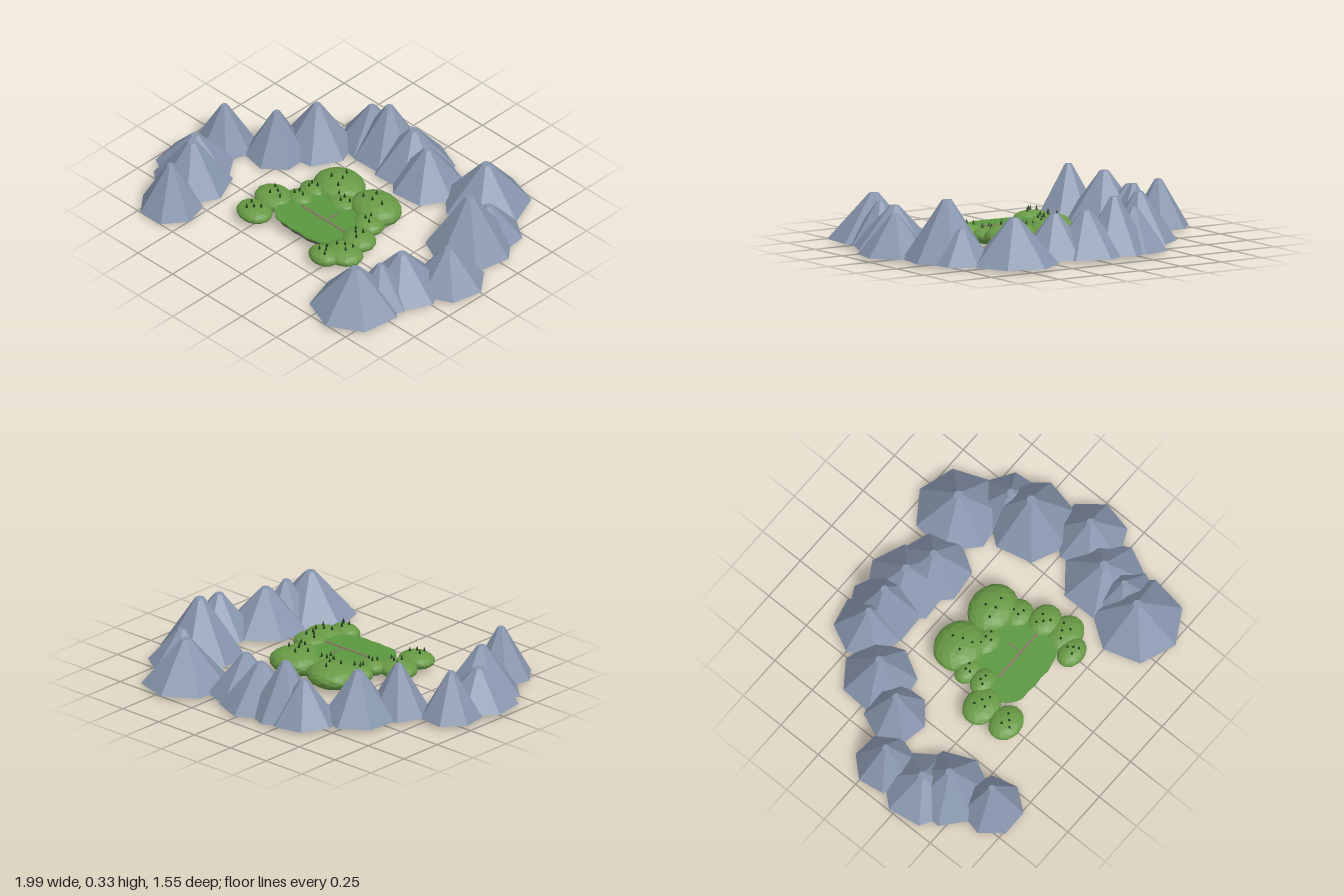
import * as THREE from 'three';

const mat = (color) => new THREE.MeshStandardMaterial({ color, flatShading: true });

// Flat slab: squarish outline with a wavy rim, tapering towards its underside
function slab(rx, rz, bottom, top, taper) {
  const pts = [];
  const n = 56;
  for (let i = 0; i < n; i++) {
    const a = (i / n) * Math.PI * 2;
    const c = Math.cos(a), s = Math.sin(a);
    const r = Math.pow(c ** 4 + s ** 4, -0.25) * (1 + 0.014 * Math.sin(a * 14));
    pts.push(new THREE.Vector2(c * r * rx, s * r * rz));
  }
  const geo = new THREE.ExtrudeGeometry(new THREE.Shape(pts), { depth: top - bottom, bevelEnabled: false });
  geo.rotateX(-Math.PI / 2).translate(0, bottom, 0);
  const p = geo.attributes.position;
  for (let i = 0; i < p.count; i++) {
    if (p.getY(i) < (top + bottom) / 2) p.setXYZ(i, p.getX(i) * taper, p.getY(i), p.getZ(i) * taper);
  }
  geo.computeVertexNormals();
  return geo;
}

export function createModel() {
  const model = new THREE.Group();
  const add = (parent, name, geo, material, x, y, z) => {
    const mesh = new THREE.Mesh(geo, material);
    mesh.name = name;
    mesh.position.set(x, y, z);
    parent.add(mesh);
    return mesh;
  };
  const group = (name) => {
    const g = new THREE.Group();
    g.name = name;
    model.add(g);
    return g;
  };
  const stone = mat(0x8795ad), leaf = mat(0x689a45), grass = mat(0x5a983f);
  const rock = mat(0x6e6660), pathMat = mat(0x8a7468), pine = mat(0x1f3a1a);

  // Ring of seven-sided peaks: x, z, base radius, top height, angle of one corner in degrees
  const base = 0.02;
  const mountains = group('mountainRing');
  [
    [-0.30, -0.50, 0.18, 0.24, 180],
    [-0.175, -0.50, 0.195, 0.305, -92],
    [0, -0.50, 0.215, 0.25, -94],
    [0.155, -0.445, 0.197, 0.24, 6],
    [0.475, -0.55, 0.232, 0.26, -99],
    [0.675, -0.37, 0.175, 0.2, -83],
    [0.675, -0.23, 0.23, 0.33, -14],
    [0.805, 0.055, 0.193, 0.228, -13],
    [0.67, 0.26, 0.222, 0.235, -103],
    [0.66, 0.405, 0.17, 0.235, 0],
    [0.61, 0.535, 0.238, 0.257, 34],
    [-0.82, 0.05, 0.162, 0.265, 197],
    [-0.80, 0.28, 0.207, 0.21, 196],
    [-0.715, 0.39, 0.21, 0.273, 2],
    [-0.645, 0.615, 0.166, 0.285, 12],
    [-0.577, -0.085, 0.165, 0.28, 75],
    [-0.478, -0.28, 0.197, 0.275, -100],
  ].forEach(([x, z, r, top, deg]) => {
    const h = top - base;
    const m = add(mountains, 'mountain', new THREE.CylinderGeometry(0.11 * r, r, h, 7), stone, x, base + h / 2, z);
    m.rotation.y = Math.PI / 2 - THREE.MathUtils.degToRad(deg);
  });

  // Meadow on a rocky plate
  const island = group('meadowIsland');
  add(island, 'rockPlate', slab(0.21, 0.19, 0.042, 0.08, 0.9), rock, 0.01, 0, 0.18);
  add(island, 'grassTop', slab(0.214, 0.194, 0.078, 0.086, 1), grass, 0.01, 0, 0.18);

  // Narrow paths
  add(island, 'crossPath', new THREE.BoxGeometry(0.32, 0.006, 0.01), pathMat, 0.05, 0.087, 0.205);
  add(island, 'sidePath', new THREE.BoxGeometry(0.006, 0.006, 0.09), pathMat, 0.07, 0.087, 0.16);

  // Wooded mounds: x, y, z, radii, number of tiny trees
  const woods = group('woodedMounds');
  const moundGeo = new THREE.IcosahedronGeometry(1, 2);
  const treeGeo = new THREE.ConeGeometry(0.009, 0.034, 6);
  [
    [-0.10, 0.072, -0.06, 0.145, 0.066, 0.13, 4],
    [0.165, 0.073, -0.06, 0.145, 0.069, 0.122, 4],
    [-0.17, 0.065, 0.055, 0.083, 0.045, 0.062, 3],
    [0.01, 0.06, 0.03, 0.1, 0.05, 0.075, 4],
    [0.1, 0.045, 0.02, 0.1, 0.043, 0.07, 0],
    [0.225, 0.065, 0.055, 0.088, 0.045, 0.078, 3],
    [-0.17, 0.07, 0.155, 0.078, 0.042, 0.062, 3],
    [-0.275, 0.065, 0.235, 0.112, 0.046, 0.092, 4],
    [-0.265, 0.066, 0.39, 0.102, 0.044, 0.084, 4],
    [0.285, 0.07, 0.185, 0.097, 0.045, 0.082, 4],
    [0.3, 0.06, 0.31, 0.112, 0.045, 0.09, 4],
    [0.245, 0.065, 0.4, 0.088, 0.045, 0.068, 4],
  ].forEach(([x, y, z, rx, ry, rz, trees], k) => {
    const mound = add(woods, 'mound', moundGeo, leaf, x, y, z);
    mound.scale.set(rx, ry, rz);
    mound.rotation.y = 0;
    for (let i = 0; i < trees; i++) {
      // Trees spread by the golden angle and stand on the mound's surface
      const a = k * 1.7 + i * 2.4, f = 0.18 + 0.1 * i;
      const top = y + ry * Math.sqrt(1 - f * f);
      add(woods, 'tree', treeGeo, pine, x + rx * f * Math.cos(a), top + 0.008, z + rz * f * Math.sin(a));
    }
  });

  return model;
}
